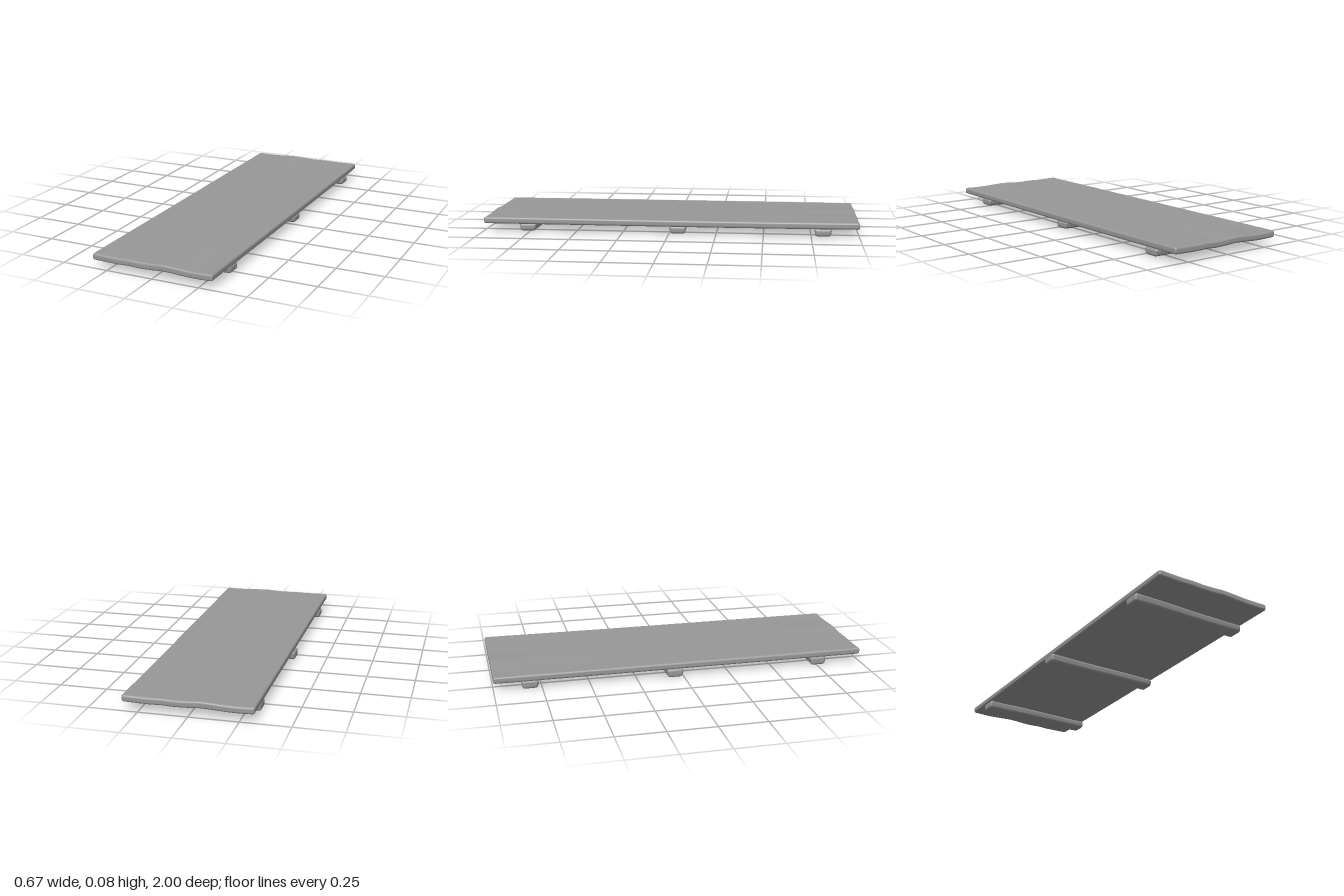
import * as THREE from 'three';
import { mergeVertices } from 'three/addons/utils/BufferGeometryUtils.js';

const material = new THREE.MeshStandardMaterial({ color: 0x989898 });
const EDGE = 4; // segments spent on each rounded edge

// Place a grid line so the outer segments fall inside the edge radius
function spread(t, segments, half, r) {
  const i = Math.round((t + 0.5) * segments);
  if (i <= EDGE) return -half + (r * i) / EDGE;
  if (i >= segments - EDGE) return half - (r * (segments - i)) / EDGE;
  return -half + r + ((i - EDGE) / (segments - 2 * EDGE)) * 2 * (half - r);
}

// Rounded, finely divided board whose points are then moved by a warp rule
function board(name, size, segments, r, warp) {
  let geo = new THREE.BoxGeometry(1, 1, 1, ...segments);
  geo.deleteAttribute('normal');
  geo.deleteAttribute('uv');
  geo = mergeVertices(geo);
  const pos = geo.attributes.position;
  const half = new THREE.Vector3(...size).multiplyScalar(0.5);
  const inner = half.clone().subScalar(r);
  const outer = inner.clone().negate();
  const p = new THREE.Vector3(), core = new THREE.Vector3();
  for (let i = 0; i < pos.count; i++) {
    p.fromBufferAttribute(pos, i);
    p.set(spread(p.x, segments[0], half.x, r), spread(p.y, segments[1], half.y, r), spread(p.z, segments[2], half.z, r));
    core.copy(p).clamp(outer, inner);
    p.sub(core).setLength(r).add(core);
    warp(p);
    pos.setXYZ(i, p.x, p.y, p.z);
  }
  geo.computeVertexNormals();
  const mesh = new THREE.Mesh(geo, material);
  mesh.name = name;
  return mesh;
}

// Worn end profile: height offset across the width
const wear = new THREE.SplineCurve([
  [-0.34, 0.001], [-0.2, -0.002], [-0.13, 0], [-0.07, -0.002], [0, 0], [0.06, 0.004],
  [0.12, 0.002], [0.2, -0.002], [0.27, -0.002], [0.34, 0.001],
].map(([x, y]) => new THREE.Vector2(x, y)));
const wearTable = wear.getPoints(90);
function wave(x) {
  const k = wearTable.findIndex((q) => q.x >= x);
  if (k < 1) return 0.001;
  const a = wearTable[k - 1], b = wearTable[k];
  return a.y + ((b.y - a.y) * (x - a.x)) / (b.x - a.x);
}

export function createModel() {
  const model = new THREE.Group();
  model.name = 'plankPanel';

  // Long panel, wavy towards both ends, slightly skewed, back corner lifted
  model.add(board('panel', [0.654, 0.035, 2], [48, 10, 40], 0.011, (p) => {
    const front = Math.max(0, p.z) ** 2, back = Math.max(0, -p.z) ** 2;
    p.y += 0.062 + wave(p.x) * front + (wave(-p.x) + 0.005 * (p.x + 0.33)) * back;
    p.x -= 0.004 * p.z;
  }));

  // Three cross battens underneath, tapering downwards
  const battens = [
    { name: 'frontBatten', z: 0.757, x: -0.006, length: 0.654 },
    { name: 'middleBatten', z: -0.047, x: -0.006, length: 0.66 },
    { name: 'backBatten', z: -0.81, x: 0.004, length: 0.65 },
  ];
  for (const b of battens) {
    model.add(board(b.name, [b.length, 0.042, 0.086], [32, 10, 10], 0.013, (p) => {
      p.z = b.z + p.z * (1 + 4 * p.y) + 0.002 * Math.sin(p.x * 11 + b.z * 5);
      p.y += 0.0265 + (p.y < 0 ? 0.008 * p.x : 0);
      p.x += b.x;
    }));
  }

  // Rest the lowest point on the ground
  model.position.y = -new THREE.Box3().setFromObject(model).min.y;
  return model;
}
